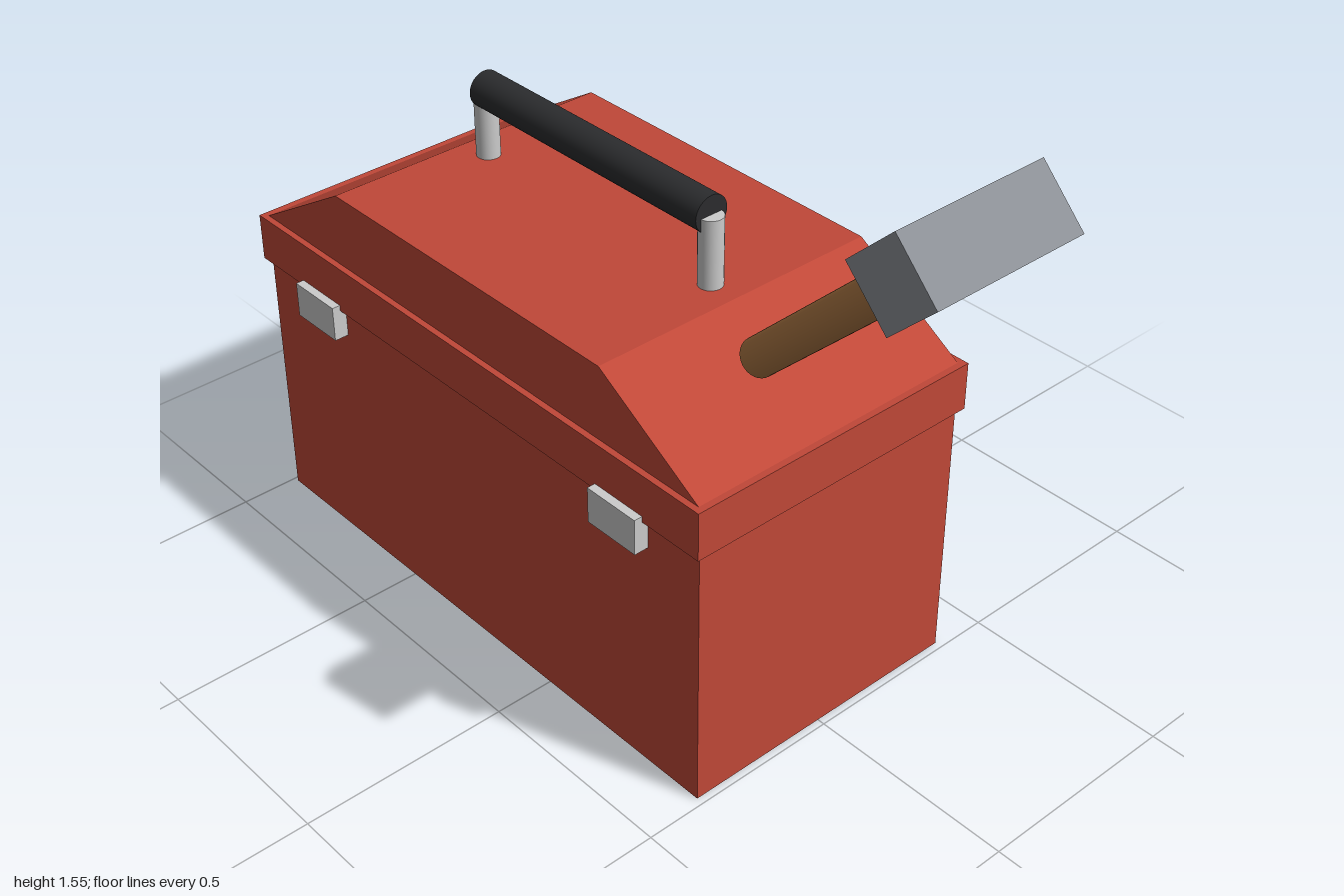
import * as THREE from 'three';

export function createModel() {
  const model = new THREE.Group();
  model.name = 'toolbox';

  const paint = (color) => new THREE.MeshStandardMaterial({ color });
  const red = paint(0xc04838);
  const metal = paint(0xcccccc);
  const rubber = paint(0x2b2c2e);
  const steel = paint(0x8c9096);
  const wood = paint(0xa87442);

  function add(name, geometry, material, x, y, z, parent = model) {
    const mesh = new THREE.Mesh(geometry, material);
    mesh.name = name;
    mesh.position.set(x, y, z);
    parent.add(mesh);
    return mesh;
  }

  // Box body and the wider rim of the lid
  const cx = -0.253; // middle of the box
  const cz = -0.01;
  add('body', new THREE.BoxGeometry(1.47, 0.66, 0.73), red, cx, 0.33, cz);
  add('lidRim', new THREE.BoxGeometry(1.495, 0.115, 0.76), red, cx, 0.707, cz);

  // Lid with sloping ends and upright front and back
  const profile = new THREE.Shape();
  profile.moveTo(-0.737, 0);
  profile.lineTo(0.737, 0);
  profile.lineTo(0.442, 0.18);
  profile.lineTo(-0.442, 0.18);
  profile.closePath();
  const lid = new THREE.ExtrudeGeometry(profile, { depth: 0.73, bevelEnabled: false });
  lid.translate(0, 0, -0.365);
  add('lid', lid, red, cx, 0.761, cz);

  // Carrying handle and front latches, mirrored about the middle of the box
  for (const [side, s] of [['left', 1], ['right', -1]]) {
    add(side + 'HandlePost', new THREE.CylinderGeometry(0.028, 0.028, 0.185, 24),
      metal, cx + s * 0.367, 1.0125, cz);
    add(side + 'Latch', new THREE.BoxGeometry(0.143, 0.086, 0.045),
      metal, cx + s * 0.513, 0.621, 0.3675);
  }
  const grip = add('handleGrip', new THREE.CylinderGeometry(0.043, 0.043, 0.735, 32),
    rubber, cx, 1.107, cz);
  grip.rotation.z = Math.PI / 2;

  // Hammer, built upright about its head and then leaned over
  const hammer = new THREE.Group();
  hammer.name = 'hammer';
  hammer.position.set(0.895, 1.443, 0.137);
  hammer.rotation.z = -Math.PI * 0.256;
  add('hammerHead', new THREE.BoxGeometry(0.147, 0.147, 0.365), steel, 0, 0, 0, hammer);
  add('hammerShaft', new THREE.CylinderGeometry(0.042, 0.042, 0.676, 32),
    wood, 0, -0.338, 0, hammer);
  model.add(hammer);

  return model;
}
